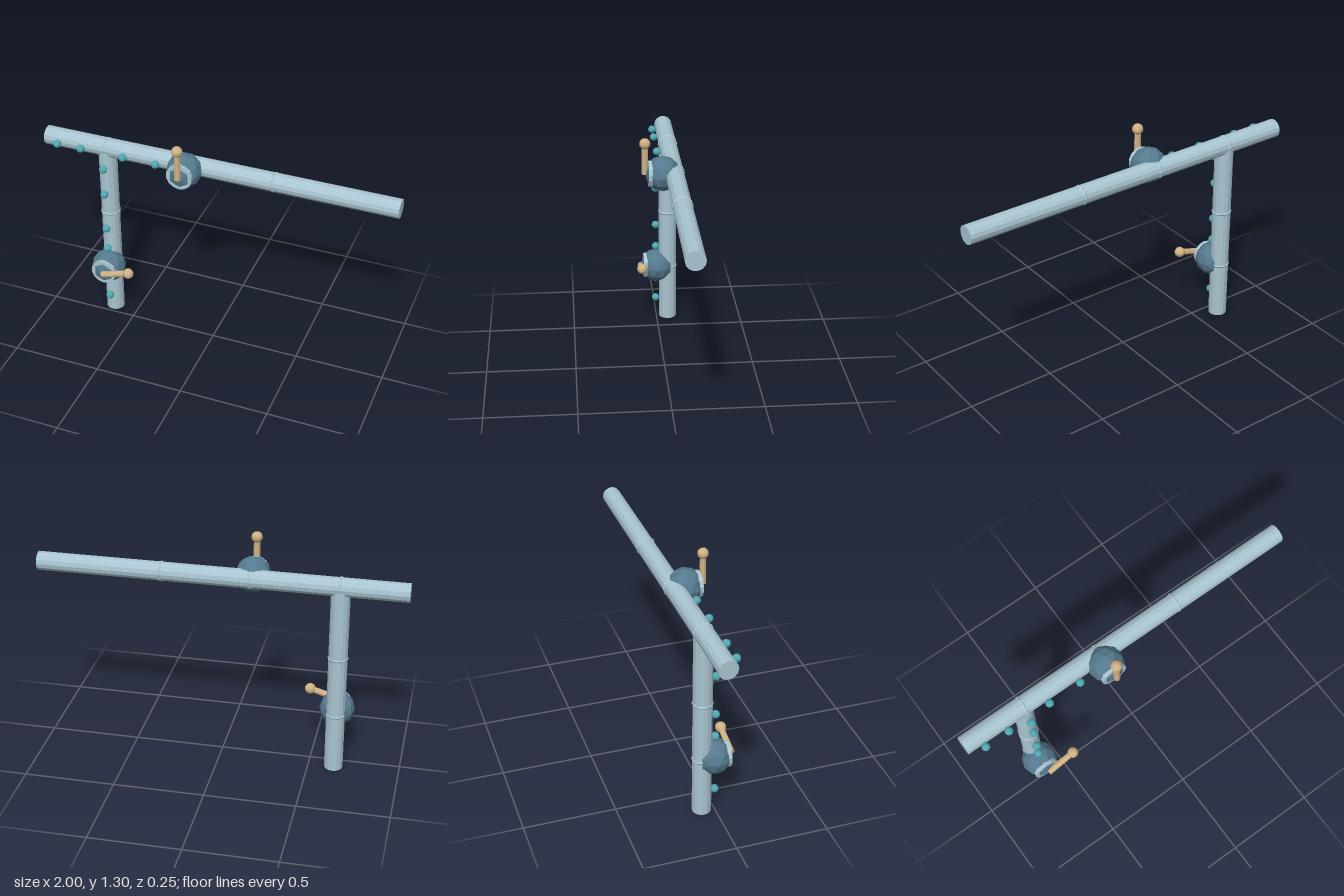
import * as THREE from 'three';

const mat = (name, color) => {
  const m = new THREE.MeshStandardMaterial({ color, flatShading: true });
  m.name = name;
  return m;
};

export function createModel() {
  const steel = mat('pale blue steel', 0xa9c5d1);
  const dark = mat('dark blue', 0x557a8e);
  const teal = mat('teal', 0x4fa9b2);
  const tan = mat('tan', 0xd0b184);

  const root = new THREE.Group();
  root.name = 'pipework';
  const add = (parent, name, geo, material, x, y, z) => {
    const mesh = new THREE.Mesh(geo, material);
    mesh.name = name;
    mesh.position.set(x, y, z);
    parent.add(mesh);
    return mesh;
  };

  const R = 0.052, PZ = -0.067, PY = 1.094, PX = -0.64;

  // Pipes forming the T
  add(root, 'horizontalPipe', new THREE.CylinderGeometry(R, R, 2, 14), steel, 0, PY, PZ).rotation.z = Math.PI / 2;
  add(root, 'verticalPipe', new THREE.CylinderGeometry(R, R, PY, 14), steel, PX, PY / 2, PZ);

  // Weld rings that barely break the pipe surface
  const ring = new THREE.TorusGeometry(0.044, 0.013, 6, 10);
  for (const x of [-0.64, -0.165, 0.32])
    add(root, 'pipeRing', ring, steel, x, PY, PZ).rotation.y = Math.PI / 2;
  for (const y of [0.335, 0.68])
    add(root, 'pipeRing', ring, steel, PX, y, PZ).rotation.x = Math.PI / 2;

  // Beads along the front of the pipes
  const bead = new THREE.IcosahedronGeometry(0.023, 1);
  for (const x of [-0.91, -0.77, -0.52, -0.33]) add(root, 'bead', bead, teal, x, PY, 0.004);
  for (const y of [0.12, 0.25, 0.457, 0.594, 0.825, 0.99]) add(root, 'bead', bead, teal, PX, y, 0.004);

  // Valve: faceted body, flange disc and a lever turned by the given angle
  const valve = (x, y, angle) => {
    const g = new THREE.Group();
    g.name = 'valve';
    g.position.set(x, y, 0);
    add(g, 'valveBody', new THREE.IcosahedronGeometry(0.098, 1), dark, 0, 0, -0.003);
    add(g, 'valveFlange', new THREE.CylinderGeometry(0.073, 0.073, 0.04, 14), steel, 0, 0, 0.056).rotation.x = Math.PI / 2;
    const lever = new THREE.Group();
    lever.name = 'lever';
    lever.position.z = 0.094;
    lever.rotation.z = angle;
    add(lever, 'leverRod', new THREE.CylinderGeometry(0.017, 0.019, 0.172, 8), tan, 0, 0.086, 0);
    add(lever, 'leverKnob', new THREE.IcosahedronGeometry(0.031, 1), tan, 0, 0.172, 0);
    g.add(lever);
    root.add(g);
  };
  valve(-0.165, PY, 0);
  valve(PX, 0.335, -1.275);

  return root;
}
